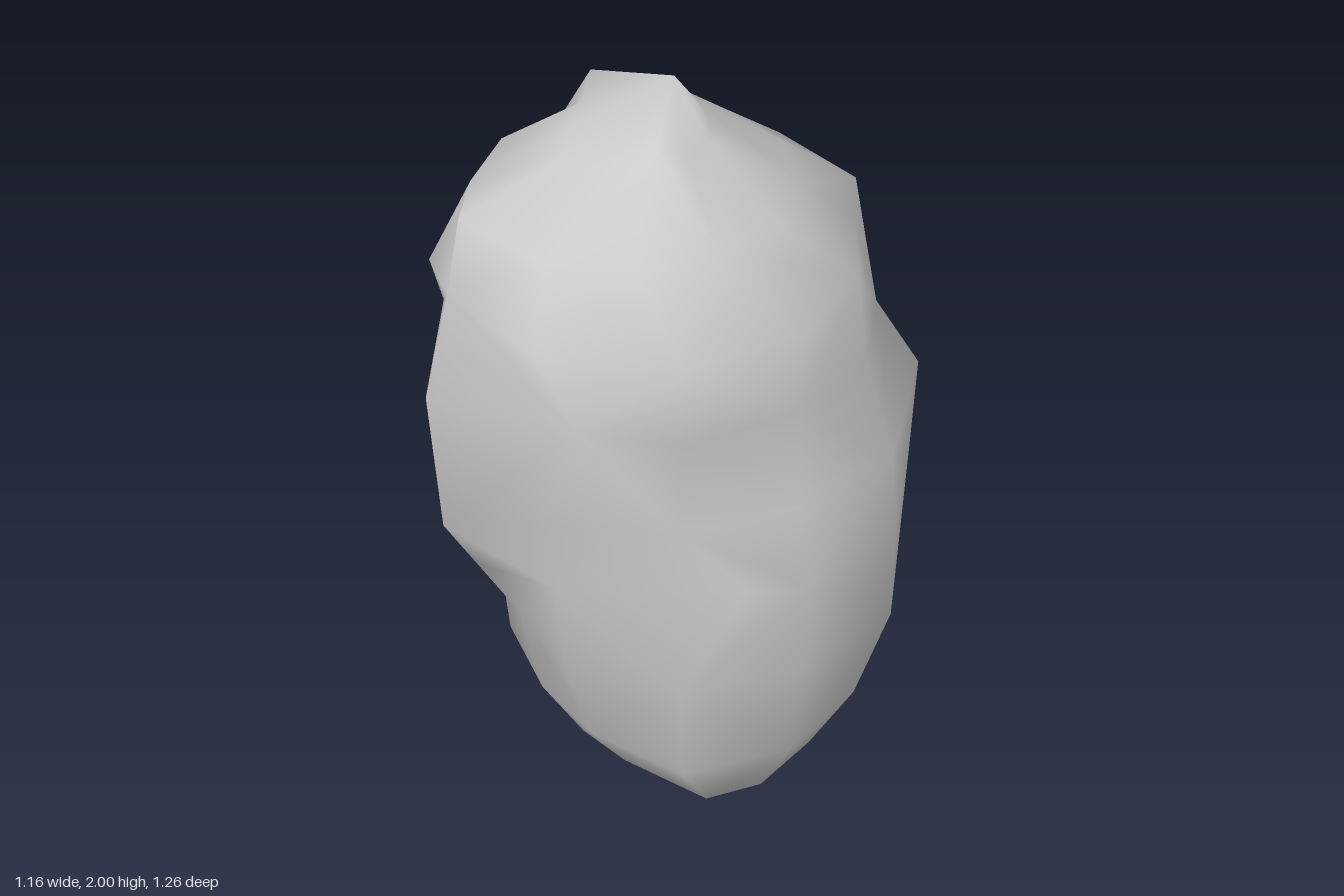
import * as THREE from 'three';

// Cross-sections from bottom to top: height, centre x, centre z, and
// radii every 30 degrees, turning from +x towards +z.
const SECTIONS = [
  { y: 0.08, cx: -0.01, cz: -0.05, r: [0.22, 0.24, 0.24, 0.23, 0.18, 0.17, 0.18, 0.19, 0.2, 0.24, 0.24, 0.22] },
  { y: 0.12, cx: 0, cz: 0, r: [0.35, 0.38, 0.4, 0.42, 0.3, 0.3, 0.29, 0.35, 0.34, 0.4, 0.4, 0.36] },
  { y: 0.35, cx: 0, cz: 0, r: [0.44, 0.5, 0.53, 0.55, 0.46, 0.46, 0.45, 0.46, 0.49, 0.59, 0.5, 0.51] },
  { y: 0.65, cx: 0, cz: 0, r: [0.54, 0.59, 0.58, 0.59, 0.56, 0.49, 0.475, 0.51, 0.56, 0.63, 0.56, 0.55] },
  { y: 0.92, cx: 0, cz: 0, r: [0.56, 0.59, 0.6, 0.61, 0.6, 0.62, 0.51, 0.55, 0.6, 0.63, 0.63, 0.56] },
  { y: 1.13, cx: 0, cz: 0, r: [0.58, 0.57, 0.55, 0.58, 0.63, 0.67, 0.56, 0.55, 0.57, 0.575, 0.58, 0.55] },
  { y: 1.38, cx: 0, cz: 0, r: [0.46, 0.49, 0.52, 0.58, 0.66, 0.67, 0.57, 0.54, 0.53, 0.56, 0.6, 0.51] },
  { y: 1.6, cx: 0, cz: 0, r: [0.4, 0.46, 0.53, 0.6, 0.64, 0.61, 0.56, 0.49, 0.45, 0.45, 0.47, 0.47] },
  { y: 1.78, cx: -0.1, cz: 0.11, r: [0.36, 0.36, 0.36, 0.37, 0.4, 0.42, 0.38, 0.37, 0.36, 0.37, 0.38, 0.37] },
  { y: 1.93, cx: -0.08, cz: 0.1, r: [0.14, 0.16, 0.18, 0.2, 0.22, 0.21, 0.17, 0.17, 0.2, 0.18, 0.16, 0.14] },
];
const SIDES = 12;

// Corners that stand out from their section: section, side, x, y, z
const CORNERS = [
  // underside and toe
  [0, 8, -0.1, 0, -0.25], [1, 3, 0.06, 0.15, 0.43], [1, 10, 0.22, 0.11, -0.34], [1, 11, 0.33, 0.09, -0.15],
  // back left edge
  [2, 10, 0.31, 0.28, -0.4], [3, 10, 0.38, 0.55, -0.42], [4, 10, 0.4, 0.82, -0.49],
  [5, 11, 0.44, 1.03, -0.34], [6, 10, 0.43, 1.3, -0.41], [7, 11, 0.415, 1.58, -0.23],
  // front right edge
  [2, 5, -0.35, 0.43, 0.32], [3, 4, -0.28, 0.64, 0.48], [3, 5, -0.4, 0.62, 0.26], [4, 5, -0.49, 0.9, 0.4],
  [5, 5, -0.56, 1.02, 0.41], [6, 5, -0.585, 1.36, 0.37], [7, 6, -0.58, 1.6, 0.16], [8, 5, -0.5, 1.76, 0.24],
  // front belly, side bulge and brow
  [4, 3, 0.15, 1, 0.62], [5, 0, 0.58, 1.13, -0.1], [6, 4, -0.23, 1.46, 0.63],
  // crown
  [9, 3, -0.06, 1.97, 0.28], [9, 5, -0.26, 1.91, 0.21], [9, 6, -0.26, 1.91, 0.1], [9, 8, -0.21, 1.97, -0.06],
];

function boulderGeometry() {
  const points = [];
  for (const { y, cx, cz, r } of SECTIONS) {
    r.forEach((radius, j) => {
      const a = (j / SIDES) * Math.PI * 2;
      points.push(cx + radius * Math.cos(a), y, cz + radius * Math.sin(a));
    });
  }
  for (const [section, side, ...corner] of CORNERS) {
    points.splice((section * SIDES + side) * 3, 3, ...corner);
  }
  const base = SECTIONS.length * SIDES;
  const peak = base + 1;
  points.push(0.1, 0.06, -0.05, -0.02, 2, 0.02);

  const faces = [];
  const top = base - SIDES;
  for (let j = 0; j < SIDES; j++) {
    const n = (j + 1) % SIDES;
    for (let i = 0; i < top; i += SIDES) {
      const [a, b, c, d] = [i + j, i + n, i + SIDES + j, i + SIDES + n];
      // Alternate the diagonals for an irregular stone surface
      if ((i / SIDES + j) % 2) faces.push(a, c, b, b, c, d);
      else faces.push(a, c, d, a, d, b);
    }
    faces.push(base, j, n, peak, top + n, top + j);
  }

  const geometry = new THREE.BufferGeometry();
  geometry.setAttribute('position', new THREE.Float32BufferAttribute(points, 3));
  geometry.setIndex(faces);
  geometry.computeVertexNormals();
  return geometry;
}

export function createModel() {
  const group = new THREE.Group();
  group.name = 'rock';
  const boulder = new THREE.Mesh(boulderGeometry(), new THREE.MeshStandardMaterial({ color: 0xcccccc }));
  boulder.name = 'boulder';
  group.add(boulder);
  return group;
}
